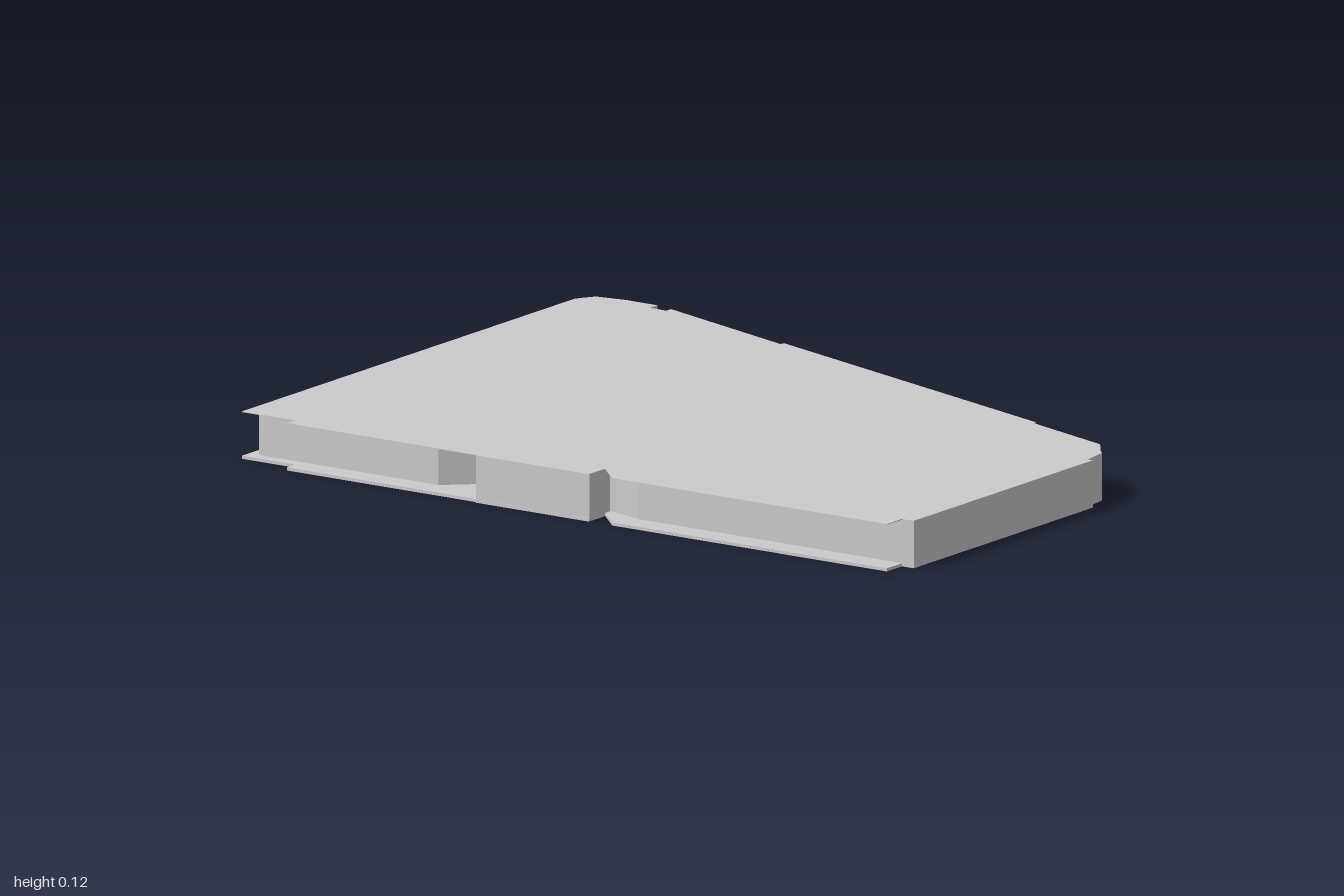
import * as THREE from 'three';

// Rear and right-hand edge shared by the plates and the core, as [x, z]
const rearEdge = [
  [1, -0.07], [0.985, -0.07], [0.975, -0.145], [0.96, -0.16], [0.92, -0.215],
  [0.66, -0.3], [0.66, -0.31], [-0.31, -0.62], [-0.32, -0.61], [-0.745, -0.75],
  [-0.745, -0.73], [-0.795, -0.73], [-0.795, -0.763], [-0.89, -0.763],
  [-0.97, -0.75], [-0.99, -0.72], [-1, -0.7],
];

// Front edge of the plates, with the small cut-outs
const plateFront = [
  [-1, 0.72], [-0.84, 0.72], [-0.84, 0.755], [-0.27, 0.755], [-0.27, 0.76],
  [0.07, 0.76], [0.07, 0.69], [0.14, 0.76], [0.965, 0.76], [0.965, 0.695], [1, 0.695],
];

// Left and front walls of the core, set back under the top plate
const coreFront = [
  [-0.92, -0.7], [-0.92, 0.31], [-0.97, 0.31], [-0.97, 0.69], [-0.43, 0.69],
  [-0.35, 0.62], [-0.27, 0.62], [-0.27, 0.758], [0.07, 0.758], [0.07, 0.67],
  [0.09, 0.67], [0.17, 0.695], [1, 0.695],
];

function outline(points) {
  return new THREE.Shape(points.map(([x, z]) => new THREE.Vector2(x, -z)));
}

function slab(name, points, bottom, top, material) {
  const geometry = new THREE.ExtrudeGeometry(outline(points), {
    depth: top - bottom, bevelEnabled: false,
  });
  geometry.rotateX(-Math.PI / 2);
  geometry.translate(0, bottom, 0);
  const mesh = new THREE.Mesh(geometry, material);
  mesh.name = name;
  return mesh;
}

export function createModel() {
  const group = new THREE.Group();
  group.name = 'casePanel';
  const grey = new THREE.MeshStandardMaterial({ color: 0xcccccc, flatShading: true });
  const plate = [...rearEdge, ...plateFront];

  group.add(slab('bottomPlate', plate, 0, 0.008, grey));
  group.add(slab('coreWalls', [...rearEdge, ...coreFront], 0.008, 0.118, grey));
  group.add(slab('topPlate', plate, 0.118, 0.12, grey));
  return group;
}
